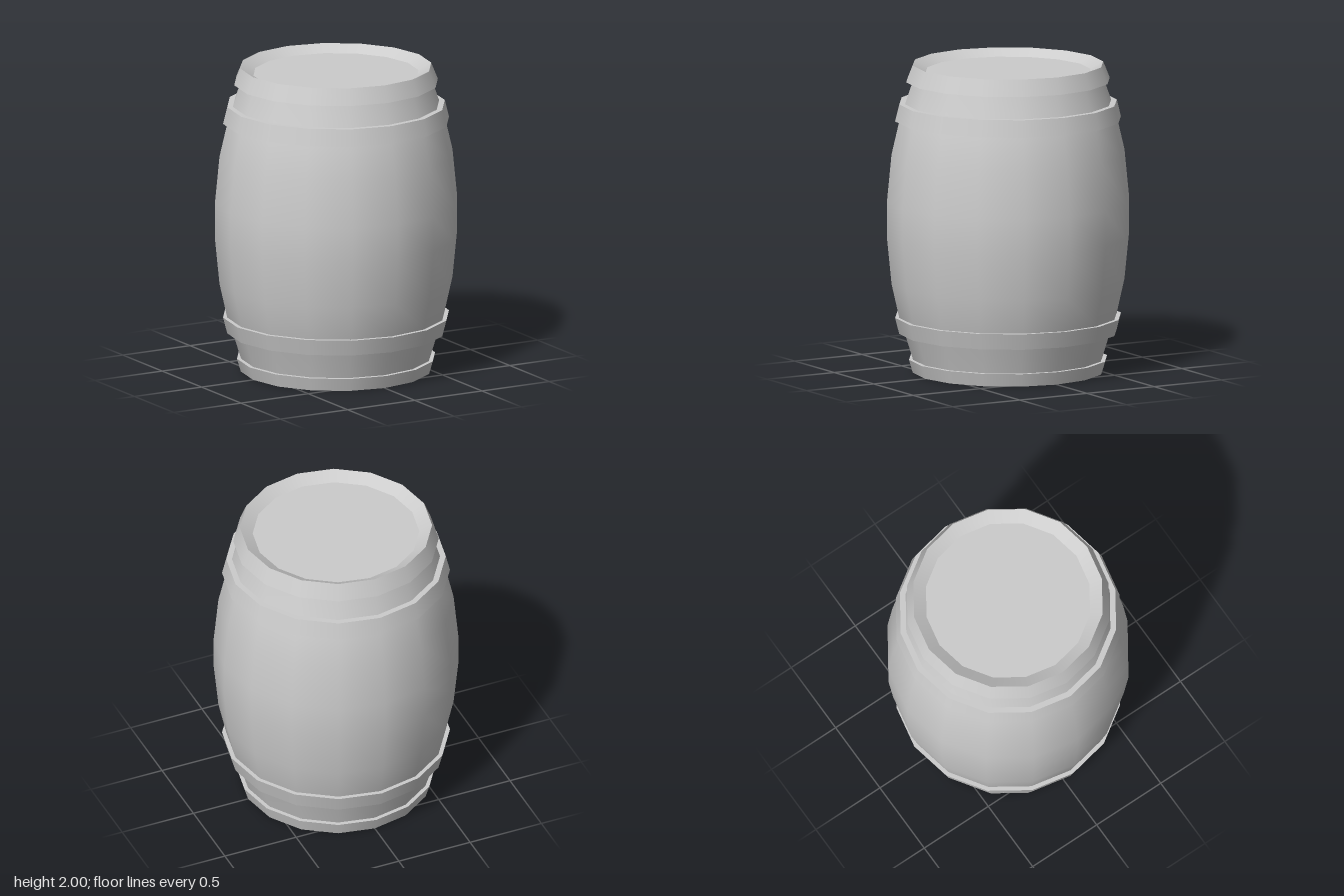
import * as THREE from 'three';

const SIDES = 16;

export function createModel() {
  const barrel = new THREE.Group();
  barrel.name = 'barrel';
  const grey = new THREE.MeshStandardMaterial({ color: 0xcccccc });
  grey.name = 'light grey';

  // Smooth turned surface; points run upwards on the outside, inwards on top
  const turned = (name, points, parent = barrel) => {
    const profile = points.map(([r, y]) => new THREE.Vector2(r, y));
    const mesh = new THREE.Mesh(new THREE.LatheGeometry(profile, SIDES), grey);
    mesh.name = name;
    parent.add(mesh);
  };

  // Sharp-edged band: underside, face and top ledge are separate strips
  const hoop = (name, y0, y1, rBottom, rTop, inBottom, inTop) => {
    const group = new THREE.Group();
    group.name = name;
    turned('underside', [[inBottom, y0], [rBottom, y0]], group);
    turned('face', [[rBottom, y0], [rTop, y1]], group);
    turned('ledge', [[rTop, y1], [inTop, y1]], group);
    barrel.add(group);
  };

  // Bulging staves
  turned('staves', [
    [0.595, 0.02], [0.617, 0.09], [0.668, 0.255], [0.705, 0.36], [0.755, 0.583], [0.785, 0.885],
    [0.785, 1.115], [0.755, 1.425], [0.705, 1.64], [0.668, 1.75], [0.62, 1.89], [0.595, 1.98],
  ]);

  // Hoops
  hoop('bottomHoop', 0, 0.085, 0.617, 0.642, 0.617, 0.61);
  hoop('lowerHoop', 0.255, 0.36, 0.705, 0.732, 0.66, 0.70);
  hoop('upperHoop', 1.64, 1.75, 0.732, 0.705, 0.70, 0.66);
  hoop('topHoop', 1.893, 2, 0.66, 0.617, 0.61, 0.617);

  // Recessed heads with sloping rims
  turned('topRim', [[0.617, 2], [0.535, 1.953]]);
  turned('topHead', [[0.535, 1.953], [0, 1.953]]);
  turned('bottomHead', [[0, 0.047], [0.535, 0.047]]);
  turned('bottomRim', [[0.535, 0.047], [0.617, 0]]);

  return barrel;
}
